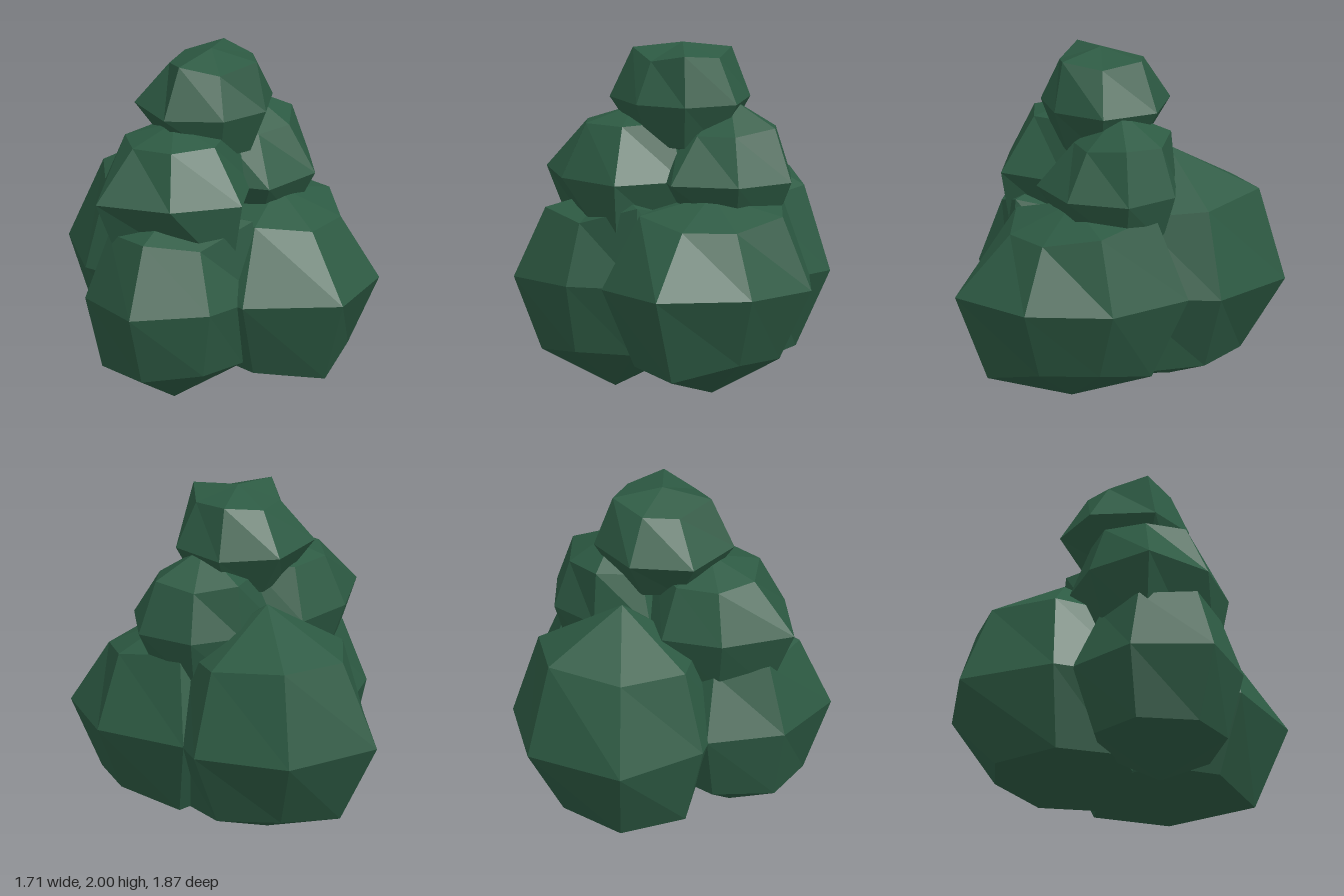
import * as THREE from 'three';

const SIDES = 7;

// A lumpy seven-sided ball made by moving the corners of a coarse sphere.
// heading: direction of the first corner in degrees; top, bottom: lengths to the poles;
// waist: reach of each corner at mid height; shoulder, hip: reach of the rings above and
// below, which lie at 45 degrees. A list shorter than seven repeats around the ring.
function clumpGeometry(heading, top, bottom, waist, shoulder, hip) {
  const geometry = new THREE.SphereGeometry(1, SIDES, 4);
  const position = geometry.attributes.position;
  for (let i = 0; i < position.count; i++) {
    const ring = Math.floor(i / (SIDES + 1));
    const side = (i % (SIDES + 1)) % SIDES;
    const angle = THREE.MathUtils.degToRad(heading - (side * 360) / SIDES);
    const upper = shoulder[side % shoulder.length];
    const lower = hip[side % hip.length];
    const reach = [0, upper, waist[side], lower, 0][ring];
    const height = [top, upper, 0, -lower, -bottom][ring];
    position.setXYZ(i, reach * Math.cos(angle), height, reach * Math.sin(angle));
  }
  geometry.computeVertexNormals();
  return geometry;
}

export function createModel() {
  const model = new THREE.Group();
  model.name = 'bush';
  const leafGreen = new THREE.MeshStandardMaterial({ color: 0x2d5a43, flatShading: true });
  leafGreen.name = 'leaf green';

  const addClump = (name, x, y, z, geometry) => {
    const mesh = new THREE.Mesh(geometry, leafGreen);
    mesh.name = name;
    mesh.position.set(x, y, z);
    model.add(mesh);
  };

  // Three large clumps on the ground
  addClump('backLowerFoliage', -0.08, 0.64, -0.26, clumpGeometry(-31, 0.76, 0.6,
    [0.64, 0.68, 0.71, 0.6, 0.6, 0.6, 0.6],
    [0.49, 0.53, 0.49, 0.47, 0.45, 0.45, 0.45],
    [0.44, 0.42, 0.47, 0.47]));
  addClump('leftLowerFoliage', 0.32, 0.64, 0.27, clumpGeometry(77, 0.53, 0.615,
    [0.68, 0.58, 0.59, 0.69, 0.6, 0.6, 0.64],
    [0.36, 0.36, 0.42, 0.49, 0.42, 0.42, 0.42],
    [0.49, 0.4, 0.4, 0.47, 0.43, 0.43, 0.45]));
  addClump('rightLowerFoliage', -0.34, 0.64, 0.35, clumpGeometry(136.4, 0.52, 0.635,
    [0.58, 0.48, 0.52, 0.5, 0.5, 0.53, 0.52],
    [0.4, 0.35, 0.46, 0.38, 0.36, 0.36, 0.38],
    [0.42, 0.39, 0.4]));

  // Two medium clumps resting on them
  addClump('rightMiddleFoliage', -0.3, 1.23, 0.235, clumpGeometry(164.3, 0.39, 0.42,
    [0.55, 0.46, 0.52, 0.45, 0.42, 0.415, 0.41],
    [0.29, 0.305, 0.31, 0.33, 0.3, 0.29, 0.29],
    [0.38, 0.29, 0.44, 0.32, 0.3, 0.3, 0.3]));
  addClump('leftMiddleFoliage', 0.22, 1.23, 0, clumpGeometry(42, 0.46, 0.42,
    [0.43, 0.415, 0.37, 0.34, 0.4, 0.42, 0.48],
    [0.27, 0.305, 0.28, 0.31, 0.29, 0.28, 0.265],
    [0.28]));

  // Small clump at the top
  addClump('topFoliage', -0.03, 1.67, 0.12, clumpGeometry(-4.5, 0.33, 0.32,
    [0.385, 0.4, 0.41, 0.44, 0.425, 0.35, 0.35],
    [0.26, 0.29, 0.25, 0.24, 0.29, 0.24, 0.29],
    [0.25]));

  return model;
}
